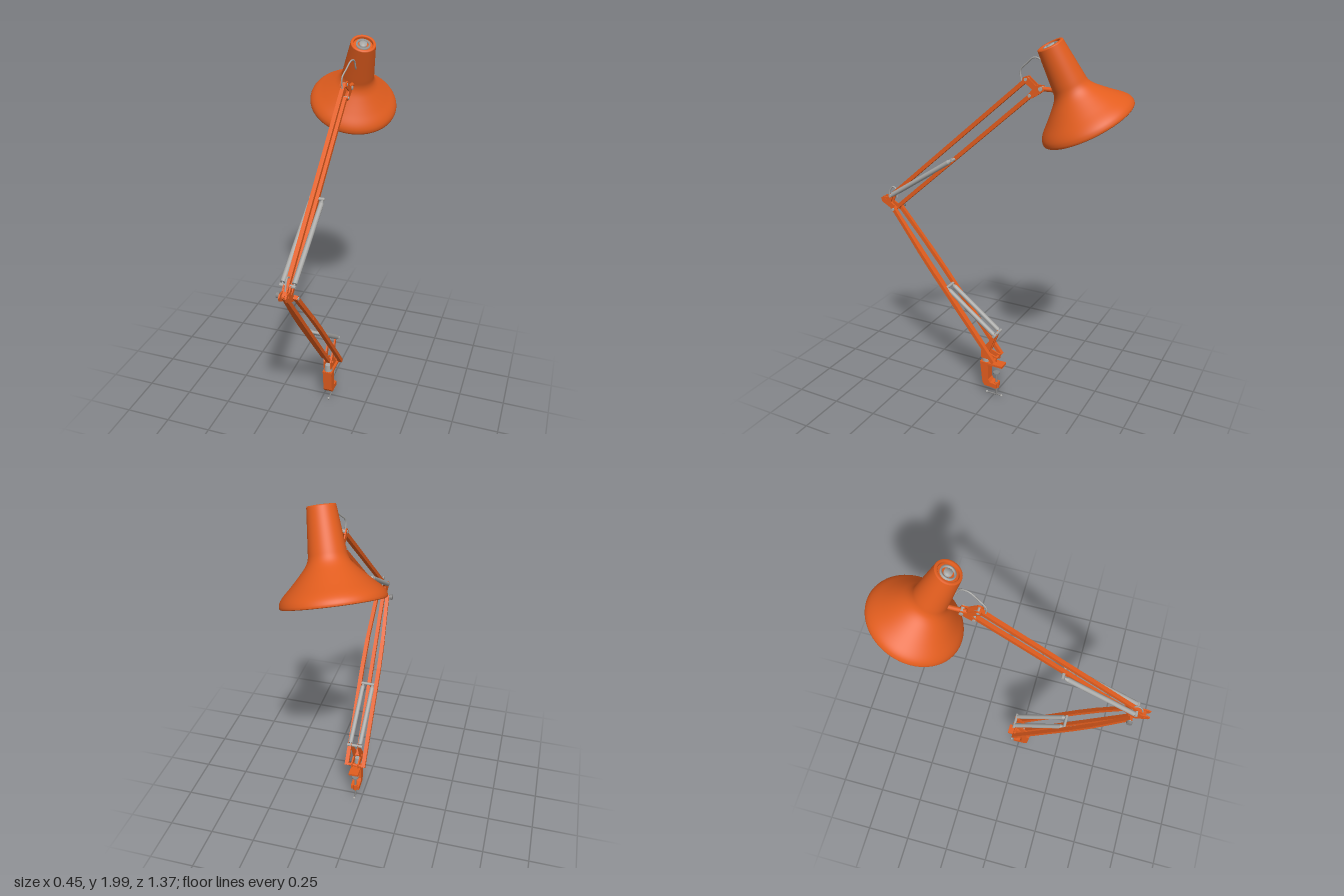
import * as THREE from 'three';

const X = 0.04; // plane of the arm
const V = (x, y, z) => new THREE.Vector3(x, y, z);
const material = (name, color) => {
  const m = new THREE.MeshStandardMaterial({ color });
  m.name = name;
  return m;
};

export function createModel() {
  const orange = material('orange enamel', 0xe25d1e);
  const steel = material('bright steel', 0xa8a8a6);
  const dark = material('dull steel', 0x858585);
  const white = material('reflector grey', 0xb6b6b4);

  const lamp = new THREE.Group();
  lamp.name = 'deskLamp';
  const add = (name, geometry, mat, parent = lamp) => {
    const mesh = new THREE.Mesh(geometry, mat);
    mesh.name = name;
    parent.add(mesh);
    return mesh;
  };

  // Square bar between two points
  const bar = (name, a, b, w = 0.02, h = w) => {
    const mesh = add(name, new THREE.BoxGeometry(w, h, a.distanceTo(b)), orange);
    mesh.position.copy(a).lerp(b, 0.5);
    mesh.lookAt(b);
  };
  // Round rod between two points
  const rod = (name, a, b, r, mat = steel, r2 = r) => {
    const mesh = add(name, new THREE.CylinderGeometry(r2, r, a.distanceTo(b), 16), mat);
    mesh.position.copy(a).lerp(b, 0.5);
    mesh.quaternion.setFromUnitVectors(V(0, 1, 0), b.clone().sub(a).normalize());
  };
  // Cross pin along x, centred on the arm
  const pin = (name, y, z, half, r = 0.008, mat = steel) =>
    rod(name, V(X - half, y, z), V(X + half, y, z), r, mat);
  // Side plate from [z, y] corners, thickness along x
  const plate = (name, pts, x, t) => {
    const shape = new THREE.Shape(pts.map(([z, y]) => new THREE.Vector2(z, y)));
    const g = new THREE.ExtrudeGeometry(shape, { depth: t, bevelEnabled: false });
    g.rotateY(-Math.PI / 2).translate(x + t / 2, 0, 0);
    add(name, g, orange);
  };
  const cable = (name, pts) => add(name, new THREE.TubeGeometry(
    new THREE.CatmullRomCurve3(pts.map((p) => V(...p))), 32, 0.004, 8), steel);

  // Clamp: table plate, C-shaped body, screw and handle
  add('clampTopPlate', new THREE.BoxGeometry(0.055, 0.012, 0.135), orange).position.set(X, 0.21, 0.003);
  plate('clampBody', [[0.073, 0.215], [0.058, 0.085], [0.045, 0.066], [-0.028, 0.062],
    [-0.028, 0.088], [0.012, 0.092], [0.022, 0.11], [0.024, 0.205]], X, 0.05);
  rod('clampScrew', V(X, 0.012, -0.018), V(X, 0.15, -0.018), 0.006, dark);
  rod('clampPad', V(X, 0.147, -0.018), V(X, 0.155, -0.018), 0.019, dark);
  rod('screwBoss', V(X, 0.058, -0.018), V(X, 0.093, -0.018), 0.015, orange);
  rod('screwHandle', V(X, 0.009, 0.045), V(X, 0.012, -0.05), 0.004, dark);
  for (const z of [0.043, -0.048]) {
    const end = add('handleEnd', new THREE.SphereGeometry(0.007, 12, 8), steel);
    end.position.set(X, 0.01, z);
  }
  rod('swivelPost', V(X, 0.215, 0.045), V(X, 0.258, 0.045), 0.022, steel);

  // Base bracket carrying both lower bars and the spring post
  for (const s of [-1, 1]) {
    plate('baseBracket', [[-0.03, 0.408], [-0.014, 0.408], [0.02, 0.35], [0.068, 0.285],
      [0.066, 0.24], [-0.03, 0.236], [-0.03, 0.262], [0.02, 0.28]], X + s * 0.019, 0.008);
  }
  pin('baseFrontPin', 0.275, 0.043, 0.028, 0.008, orange);
  pin('baseRearPin', 0.25, -0.02, 0.06, 0.008, orange);
  pin('springPostPin', 0.402, -0.022, 0.044);

  // Lower arm: a single inner bar and a bowed outer pair
  bar('lowerInnerBar', V(X, 0.275, 0.043), V(X, 1.07, 0.656));
  for (const s of [-1, 1]) {
    bar('lowerOuterBar', V(X + s * 0.049, 0.245, -0.024), V(X + s * 0.049, 0.7, 0.332), 0.022, 0.02);
    bar('lowerOuterBarBend', V(X + s * 0.049, 0.697, 0.33), V(X + s * 0.045, 0.83, 0.434), 0.022, 0.02);
    bar('lowerOuterBarTaper', V(X + s * 0.045, 0.827, 0.432), V(X + s * 0.03, 1.04, 0.598), 0.02, 0.02);
  }
  pin('lowerSpringPin', 0.625, 0.272, 0.05);

  // Elbow plates, pins and tightening knob
  for (const s of [-1, 1]) {
    plate('elbowPlate', [[0.685, 1.078], [0.678, 1.058], [0.605, 1.018], [0.586, 1.018],
      [0.58, 1.036], [0.622, 1.062], [0.604, 1.106], [0.62, 1.11], [0.638, 1.088], [0.67, 1.09]],
    X + s * 0.016, 0.007);
  }
  pin('elbowUpperPin', 1.07, 0.656, 0.022, 0.008, orange);
  pin('elbowLowerPin', 1.033, 0.593, 0.045);
  pin('elbowSpringPin', 1.104, 0.613, 0.038);
  rod('elbowKnob', V(-0.022, 1.033, 0.593), V(-0.008, 1.033, 0.593), 0.016, dark);

  // Upper arm: two parallel bars
  bar('upperTopBar', V(X, 1.07, 0.656), V(X, 1.796, -0.18));
  bar('upperBottomBar', V(X, 1.033, 0.593), V(X, 1.722, -0.2));
  pin('upperSpringPin', 1.357, 0.22, 0.038);

  // Paired springs with narrow ends
  const spring = (name, y1, z1, y2, z2) => {
    for (const s of [-1, 1]) {
      const a = V(X + s * 0.028, y1, z1), b = V(X + s * 0.028, y2, z2);
      const c = a.clone().lerp(b, 0.03), d = a.clone().lerp(b, 0.94);
      rod(name + 'Hook', a, b, 0.004);
      rod(name, c, d, 0.0125);
      rod(name + 'Cone', d, a.clone().lerp(b, 0.98), 0.0125, steel, 0.005);
    }
  };
  spring('lowerSpring', 0.402, -0.022, 0.625, 0.272);
  spring('upperSpring', 1.104, 0.613, 1.357, 0.22);

  // Head bracket and shade mount
  for (const s of [-1, 1]) {
    plate('headBracket', [[-0.165, 1.806], [-0.16, 1.788], [-0.195, 1.765], [-0.212, 1.752], [-0.188, 1.722],
      [-0.195, 1.708], [-0.215, 1.712], [-0.27, 1.75], [-0.262, 1.77], [-0.23, 1.772], [-0.185, 1.81]],
    X + s * 0.014, 0.006);
  }
  pin('headUpperPin', 1.796, -0.178, 0.019);
  pin('headLowerPin', 1.722, -0.2, 0.021);
  rod('shadeMount', V(X, 1.756, -0.235), V(X, 1.756, -0.345), 0.011, orange);
  pin('shadeMountPin', 1.758, -0.255, 0.022, 0.01);

  // Cables at the head and the elbow
  cable('headCable', [[X, 1.78, -0.15], [X, 1.835, -0.145], [0.05, 1.87, -0.18], [0.06, 1.9, -0.22],
    [0.066, 1.895, -0.255], [0.066, 1.85, -0.285], [0.064, 1.825, -0.315]]);
  cable('elbowCable', [[X, 1.08, 0.645], [X, 1.125, 0.635], [X, 1.147, 0.615],
    [X, 1.135, 0.595], [X, 1.09, 0.59]]);

  // Shade, built along y from the rim and then tilted
  const head = new THREE.Group();
  head.name = 'shade';
  head.position.set(0, 1.61, -0.475);
  head.quaternion.setFromUnitVectors(V(0, 1, 0), V(0.095, 0.36, 0.163).normalize());
  lamp.add(head);

  const lathe = (name, pts, mat) =>
    add(name, new THREE.LatheGeometry(pts.map(([r, y]) => new THREE.Vector2(r, y)), 64), mat, head);
  const curve = new THREE.SplineCurve([[0.23, 0], [0.231, 0.01], [0.225, 0.028], [0.208, 0.05], [0.172, 0.084],
    [0.13, 0.126], [0.1, 0.16], [0.085, 0.19], [0.08, 0.23], [0.071, 0.32], [0.063, 0.4]]
    .map((p) => new THREE.Vector2(...p)));
  const profile = curve.getPoints(50).map((p) => [p.x, p.y]);
  lathe('shadeShell', profile, orange);
  lathe('shadeRim', [[0.223, 0.001], [0.227, -0.003], [0.23, 0]], orange);
  lathe('shadeInside', profile.map(([r, y]) => [r - 0.007, y]).reverse(), white);

  // Vented cap with a steel fitting
  lathe('capLip', [[0.063, 0.4], [0.061, 0.405], [0.051, 0.406], [0.048, 0.402], [0.048, 0.39]], orange);
  lathe('capFloor', [[0.05, 0.392], [0, 0.392]], orange);
  lathe('capSteelRing', [[0.036, 0.39], [0.036, 0.402], [0.028, 0.402], [0.028, 0.39]], steel);
  lathe('capNut', [[0.019, 0.39], [0.019, 0.404], [0, 0.404]], steel);

  // Bulb and its holder
  add('bulb', new THREE.SphereGeometry(0.066, 32, 20), white, head).position.y = 0.1;
  lathe('bulbHolder', [[0.03, 0.14], [0.035, 0.2], [0.035, 0.386]], steel);

  return lamp;
}
